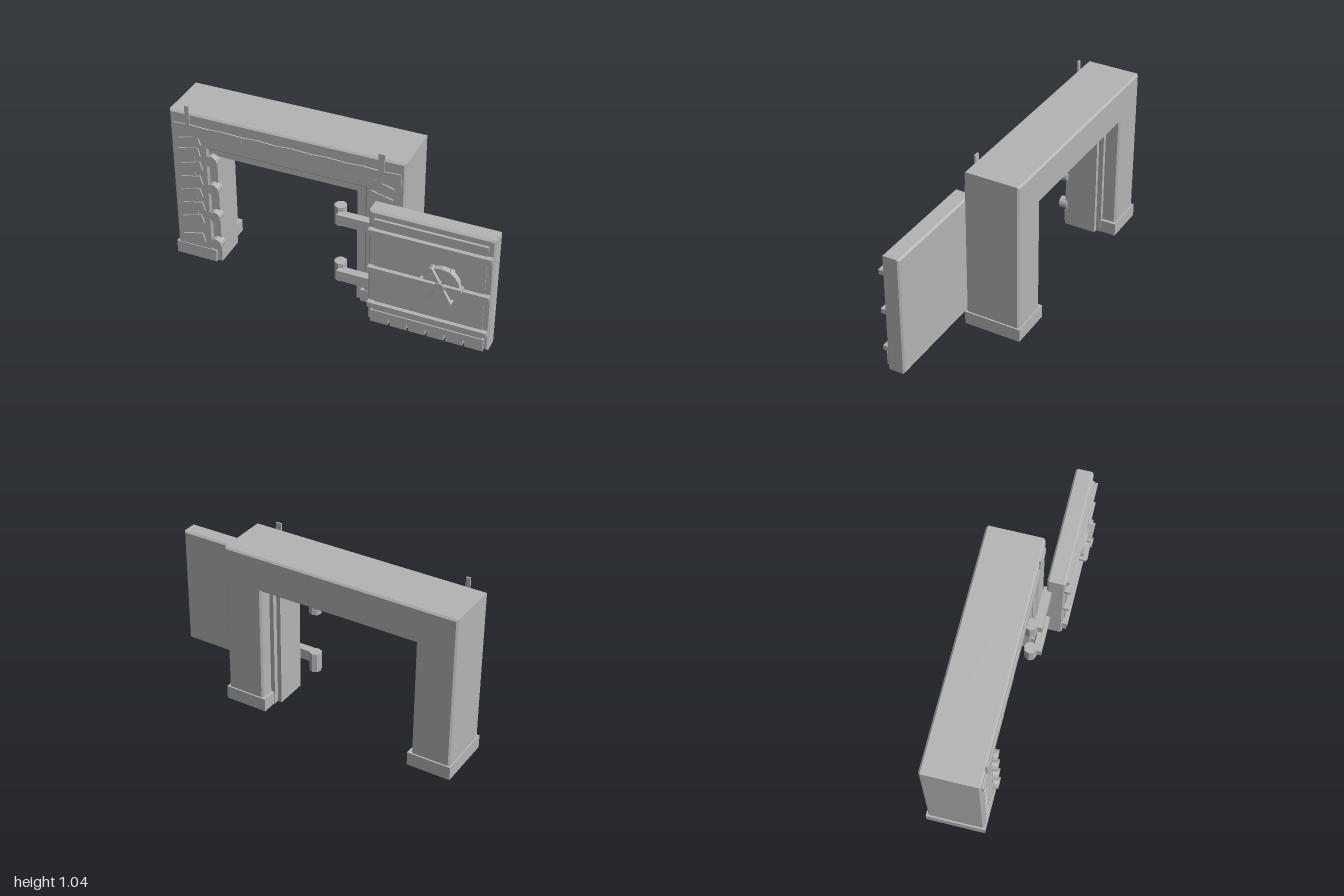
import * as THREE from 'three';

const grey = new THREE.MeshStandardMaterial({ color: 0xb4b4b4 });
grey.name = 'stone grey';

export function createModel() {
  const model = new THREE.Group();
  model.name = 'gateway';

  const add = (name, geometry, parent = model) => {
    const mesh = new THREE.Mesh(geometry, grey);
    mesh.name = name;
    parent.add(mesh);
    return mesh;
  };
  // Box given by its limits on each axis
  const box = (name, x0, x1, y0, y1, z0, z1, parent) => {
    const mesh = add(name, new THREE.BoxGeometry(x1 - x0, y1 - y0, z1 - z0), parent);
    mesh.position.set((x0 + x1) / 2, (y0 + y1) / 2, (z0 + z1) / 2);
    return mesh;
  };
  // Outline extruded from z0 to z1 with chamfered edges inside the outline
  const slab = (name, points, z0, z1, bevel = 0) => {
    const shape = new THREE.Shape(points.map(([x, y]) => new THREE.Vector2(x, y)));
    const geometry = new THREE.ExtrudeGeometry(shape, {
      depth: z1 - z0 - 2 * bevel, bevelEnabled: bevel > 0, bevelSegments: 1,
      bevelSize: bevel, bevelThickness: bevel, bevelOffset: -bevel,
    });
    geometry.translate(0, 0, z0 + bevel);
    return add(name, geometry);
  };
  // Upside-down U
  const arch = (x0, x1, top, i0, i1, innerTop) => [
    [x0, 0], [i0, 0], [i0, innerTop], [i1, innerTop], [i1, 0], [x1, 0], [x1, top], [x0, top],
  ];
  // Disc or barrel along z
  const disc = (name, x, y, z0, z1, r, sides, parent) => {
    const geometry = new THREE.CylinderGeometry(r, r, z1 - z0, sides).toNonIndexed();
    geometry.computeVertexNormals();
    const mesh = add(name, geometry, parent);
    mesh.rotation.x = Math.PI / 2;
    mesh.position.set(x, y, (z0 + z1) / 2);
    return mesh;
  };

  // Gate frame, stepped lining and feet
  slab('gateFrame', arch(-0.99, 0.43, 0.99, -0.76, 0.2, 0.78), -0.27, 0.06, 0.01);
  slab('lining', arch(-0.765, 0.205, 0.785, -0.71, 0.15, 0.74), -0.155, 0.045);
  slab('liningStep', arch(-0.765, 0.205, 0.785, -0.735, 0.175, 0.76), -0.185, -0.155);
  box('leftFoot', 0.18, 0.44, 0, 0.08, -0.28, 0.065);
  box('rightFoot', -1, -0.74, 0, 0.08, -0.28, 0.065);

  // Uneven plates along the lintel
  const lintelPlates = 13;
  for (let i = 0; i < lintelPlates; i++) {
    const plate = add('lintelPlate', new THREE.BoxGeometry(0.118, 0.075, 0.014));
    plate.position.set(-0.91 + (i * 1.26) / (lintelPlates - 1), 0.882, 0.061 + (i % 2) * 0.001);
    plate.rotation.z = i % 2 ? -0.05 : 0.06;
  }

  // Straps with tilted plates down both legs
  const legs = [
    { x: -0.875, top: 1.04, w: 0.025, mirror: 1 },
    { x: 0.295, top: 1.025, w: 0.035, mirror: -1 },
  ];
  for (const { x, top, w, mirror } of legs) {
    box('strapTip', x - w / 2, x + w / 2, 0.9, top, 0.058, 0.068);
    box('strap', x - 0.025, x + 0.03, 0.3, 0.9, 0.055, 0.064);
    [0.14, 0.27, 0.365, 0.455, 0.545, 0.64, 0.735, 0.81].forEach((y, i) => {
      const plate = add('legPlate', new THREE.BoxGeometry(0.13, 0.06, 0.016));
      plate.position.set(x + (i < 2 ? 0 : 0.005 * (i % 3)), y, 0.062);
      plate.rotation.z = mirror * (0.24 + 0.06 * (i % 2));
    });
  }

  // Bolts beside the opening
  for (const y of [0.14, 0.335, 0.525, 0.715]) disc('frameBolt', -0.73, y, 0.03, 0.083, 0.036, 12);

  // Hinges
  for (const y of [0.195, 0.58]) {
    const geometry = new THREE.CylinderGeometry(0.037, 0.037, 0.12, 8).toNonIndexed();
    geometry.computeVertexNormals();
    add('hingeBarrel', geometry).position.set(0.062, y, 0.07);
    box('hingeArm', 0.062, 0.31, y - 0.033, y + 0.033, 0.085, 0.135);
  }

  // Door leaf with raised front panel
  slab('doorLeaf', [[0.285, 0.015], [0.995, 0.015], [0.995, 0.755], [0.285, 0.755]], 0.105, 0.21, 0.01);
  box('doorPanel', 0.325, 0.955, 0.06, 0.69, 0.2, 0.215);
  box('panelTopStrip', 0.32, 0.96, 0.685, 0.715, 0.2, 0.226);
  for (const y of [0.14, 0.385, 0.635]) box('doorBar', 0.29, 0.985, y - 0.015, y + 0.015, 0.205, 0.24);

  // Toothed skirt along the lower edge of the door
  const teeth = [[0.31, 0.1], [0.31, 0.02]];
  for (let i = 0; i < 5; i++) {
    const x = 0.42 + i * 0.11;
    teeth.push([x - 0.006, 0.02], [x - 0.006, 0.062], [x + 0.006, 0.062], [x + 0.006, 0.02]);
  }
  teeth.push([0.97, 0.02], [0.97, 0.1]);
  slab('doorSkirt', teeth, 0.205, 0.23);
  box('skirtRail', 0.32, 0.96, 0.1, 0.125, 0.2, 0.222);

  // Hand wheel
  const wheel = new THREE.Group();
  wheel.name = 'handWheel';
  wheel.position.set(0.72, 0.415, 0);
  model.add(wheel);
  disc('wheelDisc', 0, 0, 0.21, 0.25, 0.105, 16, wheel);
  for (let i = 0; i < 3; i++) {
    box('wheelSpoke', -0.122, 0.122, -0.01, 0.01, 0.225, 0.27, wheel).rotation.z = (i * Math.PI) / 3;
  }
  disc('wheelHub', 0, 0, 0.21, 0.28, 0.03, 12, wheel);

  return model;
}
